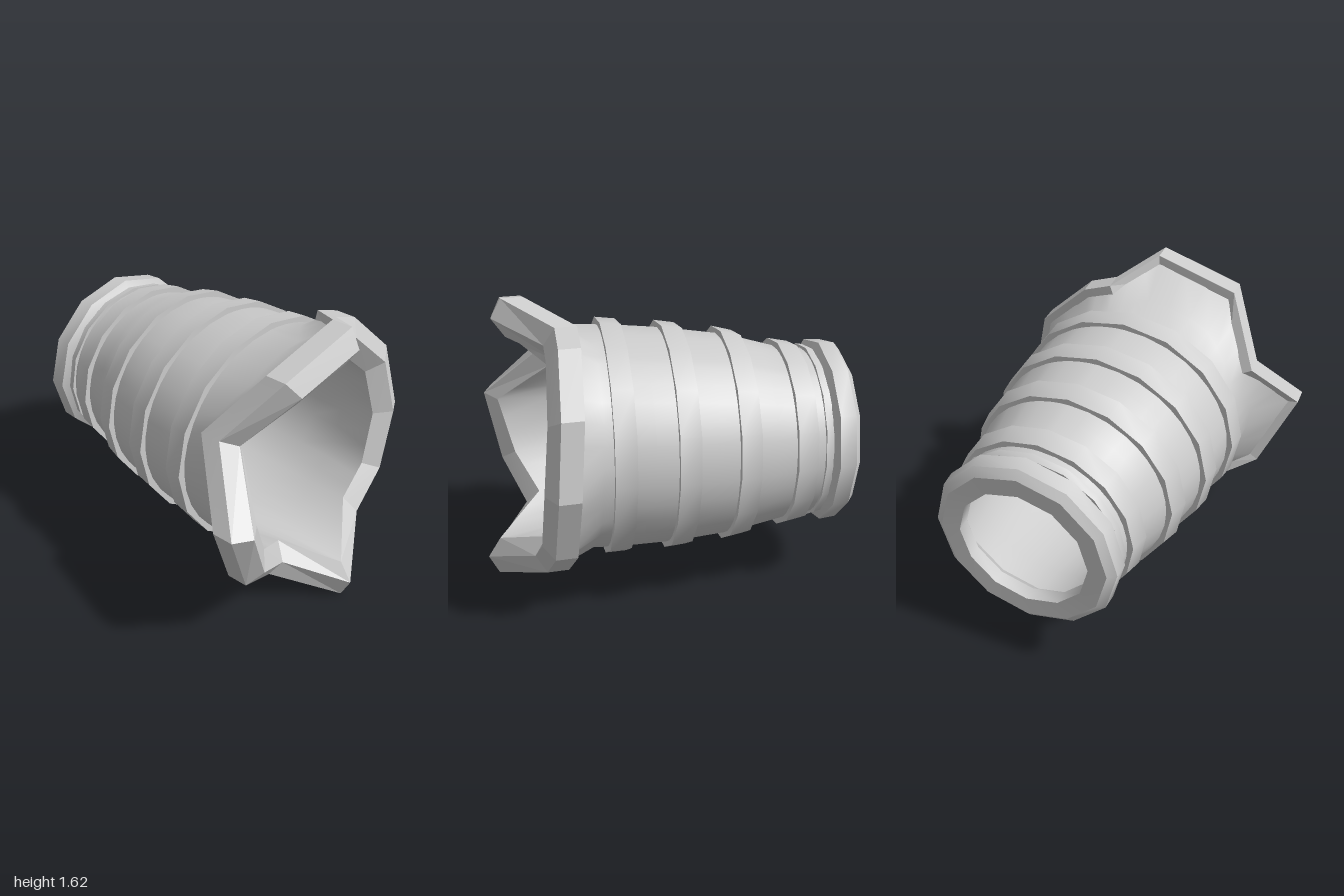
import * as THREE from 'three';
import { toCreasedNormals } from 'three/addons/utils/BufferGeometryUtils.js';

const V = (x, y, z) => new THREE.Vector3(x, y, z);
const lerp = THREE.MathUtils.lerp;

// Sleeve cross-sections: x, centre y, centre z, radius y, radius z
const STATIONS = [
  [-0.85, 0.775, -0.2, 0.45, 0.465],
  [-0.65, 0.775, -0.19, 0.47, 0.49],
  [-0.35, 0.787, -0.155, 0.543, 0.565],
  [-0.03, 0.8, -0.125, 0.58, 0.615],
  [0.3, 0.815, -0.095, 0.6, 0.635],
  [0.5, 0.825, -0.073, 0.605, 0.642],
];

function station(x) {
  let i = 0;
  while (i < STATIONS.length - 2 && x > STATIONS[i + 1][0]) i++;
  const a = STATIONS[i], b = STATIONS[i + 1];
  const t = THREE.MathUtils.clamp((x - a[0]) / (b[0] - a[0]), 0, 1);
  return a.map((v, k) => lerp(v, b[k], t));
}

// Point on the sleeve, on a slightly slanted ring
function onSleeve(x, angle, offset = 0) {
  const [, cy, cz, ry, rz] = station(x);
  const dy = (ry + offset) * Math.sin(angle), dz = (rz + offset) * Math.cos(angle);
  return V(x - 0.08 * dz - 0.02 * dy, cy + dy, cz + dz);
}

const ring = (x, offset, angles) => angles.map(a => onSleeve(x, a, offset));
const evenAngles = n => Array.from({ length: n }, (_, i) => (i / n) * Math.PI * 2);

// Skin a list of closed rings; closeProfile joins the last ring to the first
function loft(rings, closeProfile = false) {
  const n = rings[0].length, m = rings.length, index = [];
  for (let i = 0; i < (closeProfile ? m : m - 1); i++) {
    for (let j = 0; j < n; j++) {
      const i2 = (i + 1) % m, j2 = (j + 1) % n;
      const a = i * n + j, b = i2 * n + j, c = i2 * n + j2, d = i * n + j2;
      index.push(a, b, c, a, c, d);
    }
  }
  const g = new THREE.BufferGeometry().setFromPoints(rings.flat());
  g.setIndex(index);
  g.computeVertexNormals();
  return g;
}

// Jagged collar corners: outer z, outer y, back x, inner z, inner y
const COLLAR = [
  [0.81, 0.82, 0.73, 0.605, 0.8],
  [0.58, 1.16, 0.45, 0.4, 1.06],
  [0.39, 1.49, 0.69, 0.27, 1.32],
  [-0.07, 1.62, 0.73, -0.06, 1.41],
  [-0.28, 1.51, 0.49, -0.21, 1.31],
  [-0.44, 1.45, 0.5, -0.34, 1.28],
  [-0.72, 1.18, 0.54, -0.55, 1.08],
  [-0.81, 0.79, 0.58, -0.605, 0.8],
  [-0.69, 0.42, 0.59, -0.52, 0.51],
  [-0.43, 0.2, 0.6, -0.34, 0.37],
  [-0.03, 0, 0.82, -0.03, 0.22],
  [0.29, 0.2, 0.56, 0.2, 0.37],
  [0.61, 0.39, 0.66, 0.45, 0.52],
];

// Collar ring at a depth dx and a share t of the way from outer to inner edge
const collarRing = (list, dx, t) =>
  list.map(([z, y, x, zi, yi]) => V(x + dx, lerp(y, yi, t), lerp(z, zi, t)));

export function createModel() {
  const model = new THREE.Group();
  const grey = new THREE.MeshStandardMaterial({ color: 0xcccccc });
  grey.name = 'light grey';
  const add = (name, geometry) => {
    const mesh = new THREE.Mesh(geometry, grey);
    mesh.name = name;
    model.add(mesh);
  };

  // Finer copy of the collar outline, so the sleeve stays round
  const dense = COLLAR.flatMap((p, i) => {
    const q = COLLAR[(i + 1) % COLLAR.length];
    return [0, 1 / 3, 2 / 3].map(t => p.map((v, k) => lerp(v, q[k], t)));
  });
  const angles = dense.map(([z, y]) => Math.atan2(y - 0.82, z + 0.08));
  const flareRing = (t, offset) => dense.map((p, j) => {
    const x = lerp(0.3, p[2], t);
    const q = onSleeve(x, angles[j], offset);
    q.x = x;
    return q;
  });

  // Outer wall, flaring into the collar
  add('outerSleeve', loft([
    ...[-0.85, -0.65, -0.5, -0.35, -0.19, -0.03, 0.14, 0.27].map(x => ring(x, 0, angles)),
    flareRing(0.55, 0),
    collarRing(dense, 0.03, 0.15),
  ]));

  // Inner lining, from the collar back to the cuff
  add('innerSleeve', loft([
    collarRing(dense, 0.1, 1),
    flareRing(0.5, -0.055),
    ...[0.2, -0.03, -0.35, -0.65, -0.85].map(x => ring(x, -0.045, angles)),
  ]));

  // Angular collar with a ridged section
  const collar = loft([
    collarRing(COLLAR, 0, 0),
    collarRing(COLLAR, 0.115, 0),
    collarRing(COLLAR, 0.17, 0.5),
    collarRing(COLLAR, 0.1, 1),
    collarRing(COLLAR, 0, 0.75),
  ], true);
  add('collar', toCreasedNormals(collar, 0.1));

  // Raised bands around the sleeve
  const bandAngles = evenAngles(16);
  const band = (x0, x1, height) => toCreasedNormals(loft([
    ring(x0, -0.02, bandAngles),
    ring(x0, height - 0.004, bandAngles),
    ring(x1, height, bandAngles),
    ring(x1, -0.02, bandAngles),
  ]), 0.7);
  [-0.665, -0.35, -0.03, 0.295].forEach((x, i) =>
    add('band' + (i + 1), band(x - 0.056, x + 0.056, 0.037)));
  add('narrowBand', band(-0.81, -0.77, 0.022));

  // Chamfered cuff around the narrow opening
  const cuffAngles = evenAngles(12);
  const cuff = [
    [-0.96, -0.1], [-0.965, 0.005], [-0.93, 0.05], [-0.84, 0.055],
    [-0.815, 0.01], [-0.82, -0.045], [-0.88, -0.1],
  ].map(([x, offset]) => ring(x, offset, cuffAngles));
  add('cuff', toCreasedNormals(loft(cuff, true), 0.6));

  return model;
}
